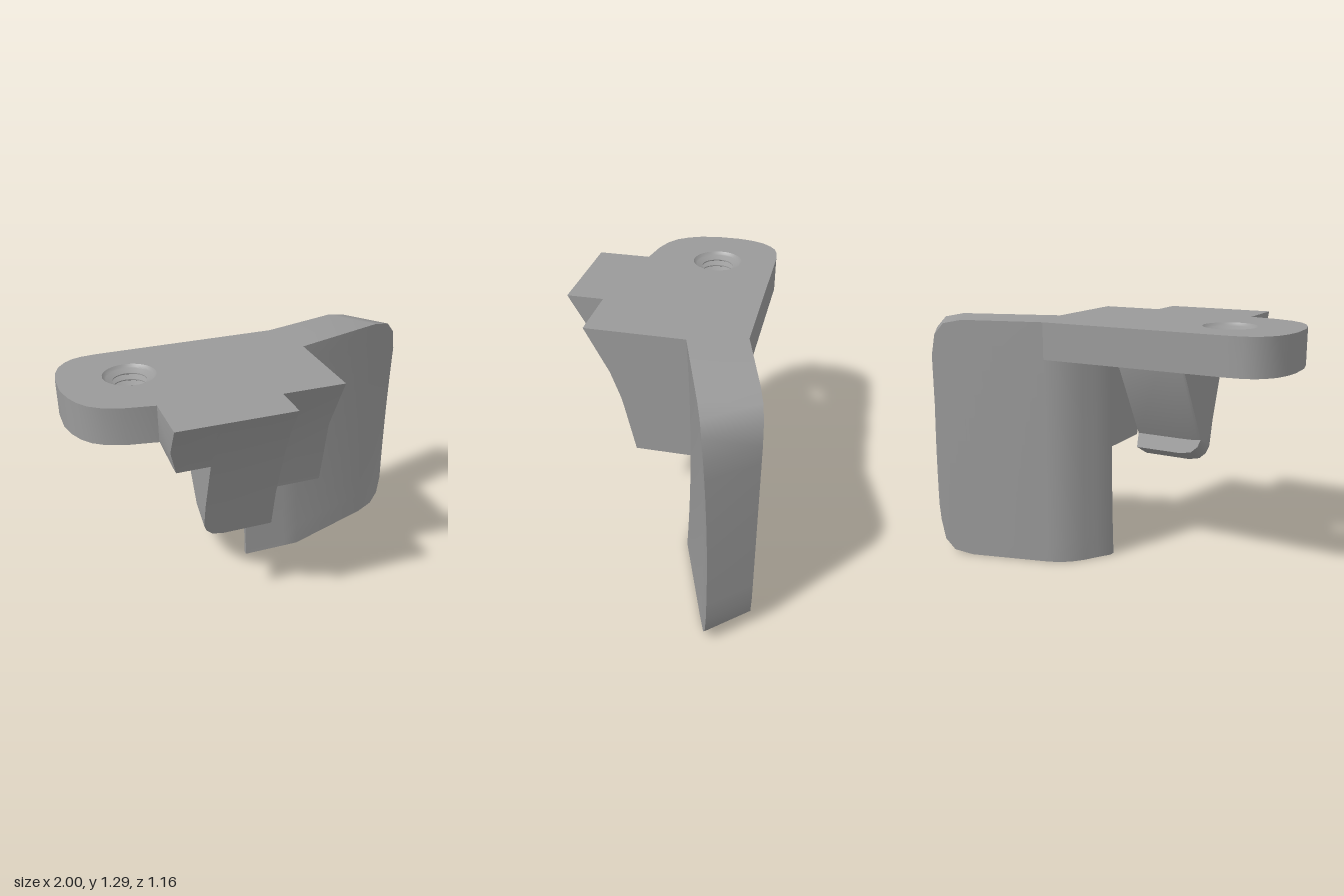
import * as THREE from 'three';
import { toCreasedNormals } from 'three/addons/utils/BufferGeometryUtils.js';

const TOP = 1.29, PLATE_BOTTOM = 1.1;
const material = new THREE.MeshStandardMaterial({ color: 0x9a9a9a });

function addMesh(group, name, geometry, mat = material) {
  const mesh = new THREE.Mesh(geometry, mat);
  mesh.name = name;
  group.add(mesh);
}

// Solid through stations ordered by x; each has a front and a back column
// of [x, y, z] points running from bottom to top.
function slab(stations, crease = 0.6) {
  const n = stations[0].front.length, size = 2 * n;
  const positions = [], index = [];
  for (const s of stations) positions.push(...[...s.front, ...[...s.back].reverse()].flat());
  const quad = (a, b, c, d) => index.push(a, b, c, a, c, d);
  for (let j = 0; j < stations.length - 1; j++) {
    for (let i = 0; i < size; i++) {
      const k = (i + 1) % size, p = j * size, q = p + size;
      quad(p + i, q + i, q + k, p + k);
    }
  }
  const last = (stations.length - 1) * size;
  for (let i = 0; i < n - 1; i++) {
    const f = i, b = size - 1 - i;
    quad(f, f + 1, b - 1, b);
    quad(last + f, last + b, last + b - 1, last + f + 1);
  }
  const geometry = new THREE.BufferGeometry();
  geometry.setAttribute('position', new THREE.Float32BufferAttribute(positions, 3));
  geometry.setIndex(index);
  return toCreasedNormals(geometry, crease);
}

// A [z, y] profile column placed at x
const column = (x, profile) => profile.map(([z, y]) => [x, y, z]);

export function createModel() {
  const group = new THREE.Group();
  group.name = 'clipBracket';

  // Mounting plate with rounded end and screw hole
  const outline = [
    [0.23, -0.42], [0.31, -0.14], [0.2, -0.14], [0, 0.2], [-0.1, 0.295], [-0.61, 0.295],
    [-0.76, 0.268], [-0.85, 0.235], [-0.91, 0.19], [-0.95, 0.135], [-0.98, 0.065], [-1, -0.03],
    [-1, -0.17], [-0.985, -0.25], [-0.96, -0.315], [-0.92, -0.365], [-0.88, -0.395],
    [-0.83, -0.412], [-0.75, -0.42],
  ].map(([x, z]) => new THREE.Vector2(x, z));
  const shape = new THREE.Shape(outline);
  const hole = new THREE.Path();
  hole.absarc(-0.645, -0.1, 0.135, 0, Math.PI * 2, true);
  shape.holes.push(hole);
  const plate = new THREE.ExtrudeGeometry(shape, {
    depth: TOP - PLATE_BOTTOM, bevelEnabled: false, curveSegments: 24,
  });
  plate.rotateX(Math.PI / 2).translate(0, TOP, 0);
  addMesh(group, 'mountingPlate', toCreasedNormals(plate, 0.5));

  // Threaded lining of the hole, with countersunk ends
  const thread = [new THREE.Vector2(0.135, TOP), new THREE.Vector2(0.125, TOP - 0.012)];
  const turns = 5, pitch = 0.034;
  for (let i = 0; i < turns; i++) {
    const y = TOP - 0.016 - i * pitch;
    thread.push(new THREE.Vector2(0.118, y), new THREE.Vector2(0.086, y - pitch * 0.4),
      new THREE.Vector2(0.086, y - pitch * 0.55));
  }
  thread.push(new THREE.Vector2(0.115, PLATE_BOTTOM + 0.004),
    new THREE.Vector2(0.135, PLATE_BOTTOM));
  const lining = toCreasedNormals(new THREE.LatheGeometry(thread, 48), 0.4);
  lining.translate(-0.645, 0, -0.1);
  const threadMaterial = material.clone();
  threadMaterial.side = THREE.DoubleSide;
  addMesh(group, 'threadedHole', lining, threadMaterial);

  // Swept wing with a slightly hollow front, running out to a sharp edge:
  // [front x, front z, back x, back z, corner inset]
  const bow = (x, y) => {
    const t = 1 - y / TOP;
    return -(0.017 + 0.038 * Math.max(0, x - 0.31)) * t - 0.08 * t * (1 - t);
  };
  const rows = 10;
  const wing = [
    [-0.02, -0.13, -0.02, -0.175, 0],
    [0.04, -0.13, 0.03, -0.245, 0],
    [0.09, -0.13, 0.07, -0.305, 0],
    [0.14, -0.13, 0.11, -0.35, 0],
    [0.22, -0.13, 0.165, -0.393, 0],
    [0.31, -0.13, 0.23, -0.42, 0],
    [0.83, -0.293, 0.65, -0.535, 0],
    [0.93, -0.323, 0.75, -0.562, 0.02],
    [0.98, -0.336, 0.8, -0.575, 0.08],
    [1.0, -0.341, 0.82, -0.58, 0.19],
  ].map(([fx, fz, bx, bz, inset]) => {
    const front = [], back = [];
    for (let i = 0; i <= rows; i++) {
      const y = inset + (TOP - 2 * inset) * i / rows;
      front.push([fx, y, fz + bow(fx, y)]);
      back.push([bx, y, bz]);
    }
    return { front, back };
  });
  addMesh(group, 'wing', slab(wing, 0.75));

  // Support block joining plate and wing
  const blockFront = [[0.13, 0.615], [0.22, 0.99], [0.385, TOP]];
  const blockBack = blockFront.map(([, y]) => [-0.165, y]);
  addMesh(group, 'supportBlock', slab([-0.02, 0.31].map((x) => ({
    front: column(x, blockFront), back: column(x, blockBack),
  }))));

  // Hook with curved front, snap lip and one rounded lower corner: [x, inset]
  const hook = [[-0.4, 0.085], [-0.385, 0.045], [-0.35, 0.013], [-0.29, 0], [-0.02, 0]]
    .map(([x, d]) => ({
      front: column(x, [[0.25 + d * 0.267, 0.475 + d], [0.31, 0.7], [0.42, 0.99], [0.49, 1.14], [0.58, TOP]]),
      back: column(x, [[0.13 + d * 0.23, 0.54 + d], [0.15, 0.618 + d * 0.1],
        [-0.12, PLATE_BOTTOM], [-0.12, 1.2], [-0.12, TOP]]),
    }));
  addMesh(group, 'snapHook', slab(hook));

  // Shoulder beside the hook with tapered lower end
  const shoulderFront = [[0.42, 0.99], [0.49, 1.14], [0.58, TOP]];
  const shoulderBack = [[0.37, 0.99], [0.29, 1.105], [0.28, TOP]];
  const taper = [-0.57, -0.61, -0.61];
  const outer = (profile) => profile.map(([z, y], i) => [taper[i], y, z]);
  addMesh(group, 'hookShoulder', slab([
    { front: outer(shoulderFront), back: outer(shoulderBack) },
    { front: column(-0.39, shoulderFront), back: column(-0.39, shoulderBack) },
  ]));

  return group;
}
